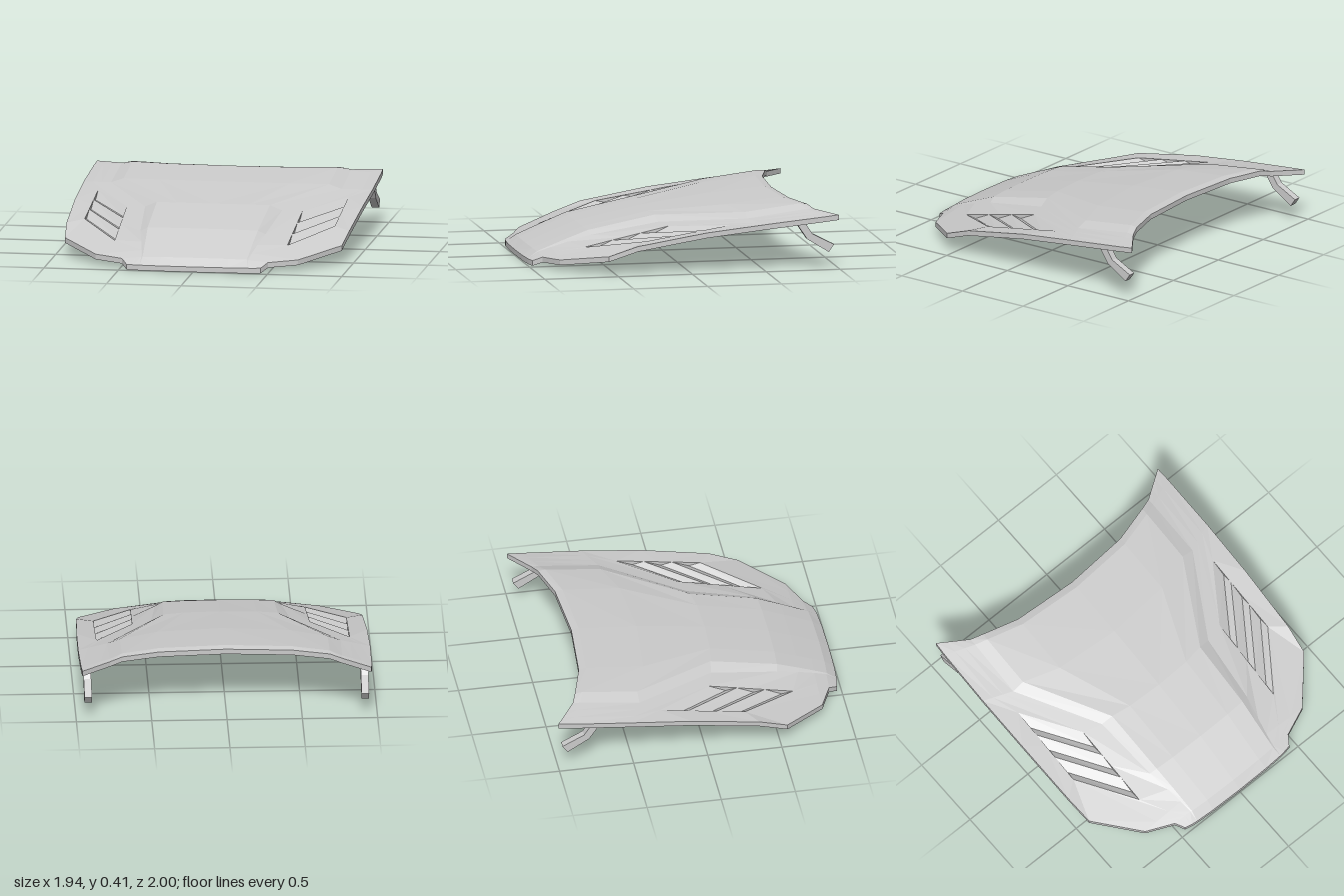
import * as THREE from 'three';

const THICK = 0.035;
const V = (p) => new THREE.Vector3(...p);

// Half cross-sections from rear lip to nose: centre, inner crease, outer crease, side edge
const SECTIONS = [
  [[0, .40, -.74], [.69, .395, -.84], [.77, .375, -.87], [.96, .36, -1]],
  [[0, .41, -.69], [.69, .40, -.79], [.77, .375, -.82], [.965, .35, -.9]],
  [[0, .375, -.3], [.69, .355, -.42], [.775, .325, -.42], [.97, .312, -.5]],
  [[0, .31, .16], [.38, .305, .13], [.46, .27, .12], [.965, .268, -.1]],
  [[0, .22, .59], [.37, .215, .58], [.42, .19, .57], [.95, .19, .36]],
  [[0, .162, .74], [.36, .157, .73], [.39, .145, .72], [.93, .125, .55]],
  [[0, .122, .84], [.355, .117, .83], [.37, .108, .83], [.68, .072, .83]],
  [[0, .085, .93], [.35, .08, .92], [.36, .078, .915], [.49, .063, .91]],
  [[0, .035, .995], [.36, .035, .985], [.40, .035, .98], [.45, .035, .97]],
];

// Vent opening: corners of its inner and outer sides, rear to front
const VENT = {
  inner: [V([.59, .26, .08]), V([.58, .135, .65])],
  outer: [V([.84, .295, -.29]), V([.84, .205, .28])],
};
const VENT_FIRST = 3, VENT_LAST = 5;

function material() {
  return new THREE.MeshStandardMaterial({ color: 0xcccccc, flatShading: true });
}

function meshFrom(name, positions, doubleSided = false) {
  const geo = new THREE.BufferGeometry();
  geo.setAttribute('position', new THREE.Float32BufferAttribute(positions, 3));
  geo.computeVertexNormals();
  const mat = material();
  if (doubleSided) mat.side = THREE.DoubleSide;
  const mesh = new THREE.Mesh(geo, mat);
  mesh.name = name;
  return mesh;
}

function quad(out, a, b, c, d) {
  for (const p of [a, b, c, a, c, d]) out.push(p.x, p.y, p.z);
}

// Expand one section to the full width, adding the bowed middle and the vent columns
function fullRow(section, r) {
  const [centre, inner, outer, edge] = section.map(V);
  const middle = new THREE.Vector3(
    inner.x * 0.64,
    THREE.MathUtils.lerp(centre.y, inner.y, 0.3),
    THREE.MathUtils.lerp(centre.z, inner.z, 0.3));
  let h1 = outer.clone().lerp(edge, 1 / 3);
  let h2 = outer.clone().lerp(edge, 2 / 3);
  if (r >= VENT_FIRST && r <= VENT_LAST) {
    const t = (r - VENT_FIRST) / (VENT_LAST - VENT_FIRST);
    h1 = VENT.inner[0].clone().lerp(VENT.inner[1], t);
    h2 = VENT.outer[0].clone().lerp(VENT.outer[1], t);
  }
  const half = [middle, inner, outer, h1, h2, edge];
  const mirrored = half.map((p) => new THREE.Vector3(-p.x, p.y, p.z)).reverse();
  return [...mirrored, centre, ...half];
}

// Closed sheet: top skin with two vent openings, underside and rim
function createPanel() {
  const top = SECTIONS.map(fullRow);
  const under = top.map((row) => row.map((p) => new THREE.Vector3(p.x, p.y - THICK, p.z)));
  const rows = top.length - 1, cols = top[0].length - 1;
  const upper = [], lower = [], rim = [];
  for (let r = 0; r < rows; r++) {
    for (let c = 0; c < cols; c++) {
      const open = r >= VENT_FIRST && r < VENT_LAST && (c === 1 || c === cols - 2);
      if (!open) {
        // mirror the diagonal so both halves match
        if (c < cols / 2) quad(upper, top[r][c], top[r + 1][c], top[r + 1][c + 1], top[r][c + 1]);
        else quad(upper, top[r + 1][c], top[r + 1][c + 1], top[r][c + 1], top[r][c]);
      }
      if (c < cols / 2) quad(lower, under[r][c], under[r][c + 1], under[r + 1][c + 1], under[r + 1][c]);
      else quad(lower, under[r][c + 1], under[r + 1][c + 1], under[r + 1][c], under[r][c]);
    }
    quad(rim, top[r][0], under[r][0], under[r + 1][0], top[r + 1][0]);
    quad(rim, top[r + 1][cols], under[r + 1][cols], under[r][cols], top[r][cols]);
  }
  for (let c = 0; c < cols; c++) {
    quad(rim, top[0][c + 1], under[0][c + 1], under[0][c], top[0][c]);
    quad(rim, top[rows][c], under[rows][c], under[rows][c + 1], top[rows][c + 1]);
  }
  const panel = new THREE.Group();
  panel.name = 'hoodPanel';
  panel.add(meshFrom('topSkin', upper), meshFrom('underside', lower), meshFrom('rim', rim));
  return panel;
}

// Three slanted louvre blades sunk into the opening, with closed ends
function createVent(side) {
  const blades = 3, depth = 0.028, positions = [];
  const at = (line, t, drop) => {
    const p = line[0].clone().lerp(line[1], t);
    return new THREE.Vector3(p.x * side, p.y - drop, p.z);
  };
  for (let i = 0; i < blades; i++) {
    const steps = [[i / blades, 0], [(i + 0.6) / blades, depth], [(i + 1) / blades, 0]];
    const a = steps.map(([t, d]) => at(VENT.inner, t, d));
    const b = steps.map(([t, d]) => at(VENT.outer, t, d));
    for (let k = 0; k < 2; k++) {
      if (side > 0) quad(positions, a[k], a[k + 1], b[k + 1], b[k]);
      else quad(positions, b[k], b[k + 1], a[k + 1], a[k]);
    }
    for (const wall of [a, b]) for (const p of wall) positions.push(p.x, p.y, p.z);
  }
  return meshFrom(side > 0 ? 'leftVent' : 'rightVent', positions, true);
}

// Bent hinge arm under each rear corner
function createHinge(side) {
  const outline = [[.71, .318], [.79, .20], [.935, .11], [.97, .16], [.825, .235], [.77, .318]];
  const shape = new THREE.Shape(outline.map(([u, v]) => new THREE.Vector2(u, v)));
  const width = 0.05;
  const geo = new THREE.ExtrudeGeometry(shape, { depth: width, bevelEnabled: false });
  geo.translate(0, 0, -width / 2);
  geo.rotateY(Math.PI / 2);
  const hinge = new THREE.Mesh(geo, material());
  hinge.position.x = side * 0.92;
  hinge.name = side > 0 ? 'leftHinge' : 'rightHinge';
  return hinge;
}

export function createModel() {
  const hood = new THREE.Group();
  hood.name = 'carHood';
  hood.add(createPanel());
  for (const side of [1, -1]) hood.add(createVent(side), createHinge(side));
  return hood;
}
